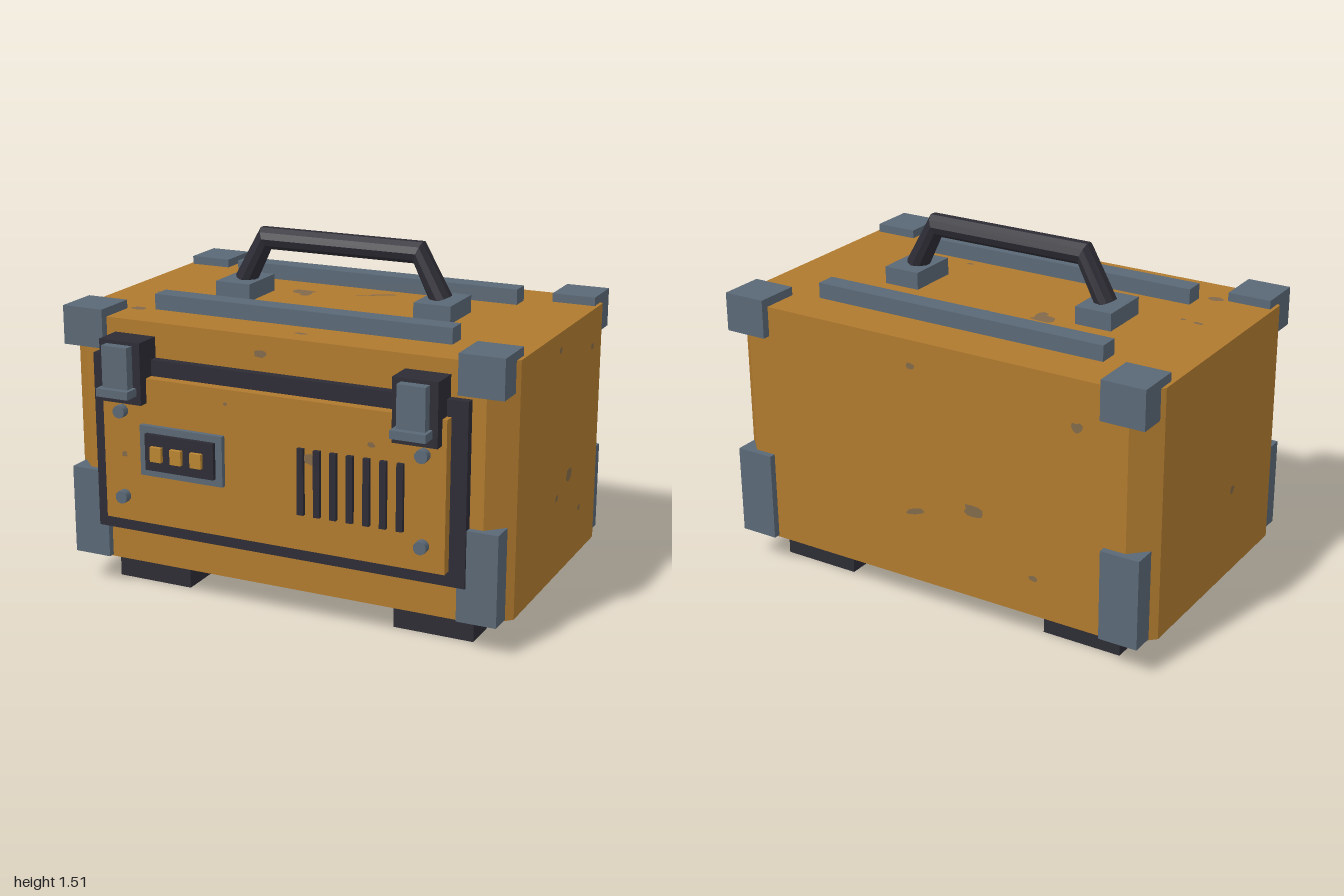
import * as THREE from 'three';

const mat = (name, color) => {
  const m = new THREE.MeshStandardMaterial({ color });
  m.name = name;
  return m;
};

export function createModel() {
  const root = new THREE.Group();
  root.name = 'equipmentCase';
  const ochre = mat('ochrePaint', 0xb07a2e);
  const steel = mat('blueGreySteel', 0x5a6875);
  const dark = mat('darkRubber', 0x2d2c35);
  const amber = mat('amberDigit', 0xba8532);
  const worn = mat('wornPaint', 0x81694a);
  dark.flatShading = true;

  const add = (name, geo, material) => {
    const mesh = new THREE.Mesh(geo, material);
    mesh.name = name;
    root.add(mesh);
    return mesh;
  };
  // Box given by its limits on each axis
  const box = (name, material, [x0, x1], [y0, y1], [z0, z1]) => {
    const g = new THREE.BoxGeometry(x1 - x0, y1 - y0, z1 - z0);
    g.translate((x0 + x1) / 2, (y0 + y1) / 2, (z0 + z1) / 2);
    return add(name, g, material);
  };
  // The same box on both sides
  const pair = (name, material, [a, b], y, z) => {
    box(name + 'Left', material, [a, b], y, z);
    box(name + 'Right', material, [-b, -a], y, z);
  };

  // Body with chamfered upright corners
  const midZ = -0.08, hx = 1, hz = 0.61, c = 0.1;
  const outline = new THREE.Shape([
    [hx, -hz + c], [hx, hz - c], [hx - c, hz], [-hx + c, hz],
    [-hx, hz - c], [-hx, -hz + c], [-hx + c, -hz], [hx - c, -hz],
  ].map(([x, y]) => new THREE.Vector2(x, y)));
  const bodyGeo = new THREE.ExtrudeGeometry(outline, { depth: 1.07, bevelEnabled: false });
  bodyGeo.rotateX(-Math.PI / 2).translate(0, 0.13, midZ);
  add('body', bodyGeo, ochre);

  // Skid feet, corner blocks and lower corner guards
  pair('foot', dark, [0.48, 0.832], [0, 0.13], [-0.59, 0.43]);
  pair('frontTopCorner', steel, [0.795, 0.985], [1.07, 1.237], [0.366, 0.566]);
  pair('backTopCorner', steel, [0.795, 0.985], [1.07, 1.237], [-0.725, -0.525]);
  pair('frontCornerGuard', steel, [0.804, 0.974], [0.137, 0.525], [0.46, 0.56]);
  pair('backCornerGuard', steel, [0.804, 0.974], [0.137, 0.525], [-0.72, -0.62]);

  // Top rails and handle mounts
  box('frontRail', steel, [-0.677, 0.677], [1.2, 1.267], [0.243, 0.332]);
  box('backRail', steel, [-0.677, 0.677], [1.2, 1.267], [-0.491, -0.403]);
  pair('handleMount', steel, [0.383, 0.548], [1.2, 1.275], [-0.196, 0.037]);

  // Handle: a ten-sided bar bent through four cross-sections [x, y, across x, across y]
  const sections = [
    [0.46, 1.272, -0.9, -0.35], [0.359, 1.462, -0.4, -0.97],
    [-0.359, 1.462, 0.4, -0.97], [-0.46, 1.272, 0.9, -0.35],
  ];
  const bar = new THREE.CylinderGeometry(0.05, 0.05, 1, 10, 3);
  const p = bar.attributes.position;
  for (let i = 0; i < p.count; i++) {
    const [x, y, nx, ny] = sections[Math.round((0.5 - p.getY(i)) * 3)];
    const r = p.getX(i);
    p.setXYZ(i, x + nx * r, y + ny * r, midZ + p.getZ(i));
  }
  bar.computeVertexNormals();
  add('handle', bar, dark);

  // Front frame and raised panel
  box('frontFrame', dark, [-0.842, 0.842], [0.283, 1.05], [0.52, 0.568]);
  box('frontPanel', ochre, [-0.773, 0.773], [0.347, 0.981], [0.56, 0.612]);

  // Latches
  pair('latchBase', dark, [0.562, 0.753], [0.875, 1.14], [0.52, 0.656]);
  pair('latchPlate', steel, [0.598, 0.718], [0.93, 1.125], [0.65, 0.698]);
  pair('latchLip', steel, [0.582, 0.732], [0.914, 0.948], [0.65, 0.727]);

  // Panel screws
  for (const x of [-0.68, 0.68]) for (const y of [0.455, 0.83]) {
    const g = new THREE.CylinderGeometry(0.028, 0.028, 0.04, 10);
    g.rotateX(Math.PI / 2).translate(x, y, 0.627);
    add('screw', g, steel);
  }

  // Counter display
  box('displayPlate', steel, [-0.585, -0.198], [0.568, 0.785], [0.605, 0.635]);
  box('displayScreen', dark, [-0.551, -0.229], [0.6, 0.756], [0.63, 0.654]);
  for (const x of [-0.492, -0.398, -0.304])
    box('displayDigit', amber, [x - 0.026, x + 0.026], [0.645, 0.708], [0.65, 0.672]);

  // Vent bars
  for (let i = 0; i < 7; i++) {
    const x = 0.152 + i * 0.0722;
    box('ventBar', dark, [x - 0.014, x + 0.014], [0.502, 0.783], [0.605, 0.629]);
  }

  // Worn paint patches: [u, v, half width, half height, tilt] on each face
  let seed = 7;
  const rand = () => (seed = (seed * 16807) % 2147483647) / 2147483647;
  const patches = (name, list, rotation, place) => {
    for (const [u, v, w, h, tilt = 0] of list) {
      const g = new THREE.CircleGeometry(1, 11);
      const q = g.attributes.position;
      for (let i = 1; i < q.count - 1; i++) {
        const k = 0.75 + rand() * 0.45;
        q.setXY(i, q.getX(i) * k, q.getY(i) * k);
      }
      q.setXY(q.count - 1, q.getX(1), q.getY(1));
      g.scale(w, h, 1).rotateZ(tilt);
      const mesh = add(name, g, worn);
      mesh.rotation.set(...rotation);
      mesh.position.set(...place(u, v));
    }
  };
  const H = Math.PI / 2;
  patches('wearTop', [
    [-0.25, -0.22, 0.055, 0.035], [-0.225, -0.185, 0.025, 0.03], [0.09, -0.31, 0.065, 0.012, 0.5],
    [0.01, -0.27, 0.025, 0.008, 0.5], [-0.81, 0.06, 0.025, 0.01], [-0.735, 0.07, 0.013, 0.01],
    [-0.745, 0.355, 0.032, 0.024], [0.07, 0.445, 0.036, 0.012], [0.37, 0.195, 0.018, 0.008],
  ], [-H, 0, 0], (u, v) => [u, 1.203, v]);
  patches('wearFront', [[-0.075, 1.125, 0.03, 0.018]], [0, 0, 0], (u, v) => [u, v, 0.533]);
  patches('wearPanel', [
    [0.185, 0.74, 0.026, 0.024], [0.458, 0.838, 0.016, 0.012],
    [-0.675, 0.64, 0.014, 0.012], [-0.19, 0.92, 0.01, 0.006],
  ], [0, 0, 0], (u, v) => [u, v, 0.615]);
  patches('wearLeft', [
    [-0.035, 1.125, 0.017, 0.014], [-0.46, 1.04, 0.018, 0.013], [-0.2, 0.545, 0.033, 0.03],
    [-0.05, 0.485, 0.02, 0.014, 0.4], [-0.36, 0.345, 0.018, 0.012],
  ], [0, H, 0], (u, v) => [1.003, v, u]);
  patches('wearRight', [[0.04, 0.52, 0.02, 0.02]], [0, -H, 0], (u, v) => [-1.003, v, u]);
  patches('wearBack', [
    [0.08, 1.09, 0.022, 0.014], [-0.68, 1.0, 0.028, 0.022], [-0.21, 0.52, 0.05, 0.03],
    [0.07, 0.45, 0.05, 0.012, 0.3], [-0.49, 0.3, 0.02, 0.012],
  ], [0, Math.PI, 0], (u, v) => [u, v, -0.693]);
  patches('wearBottom', [[-0.14, -0.31, 0.04, 0.03], [-0.24, -0.14, 0.03, 0.02]],
    [H, 0, 0], (u, v) => [u, 0.127, v]);

  return root;
}
